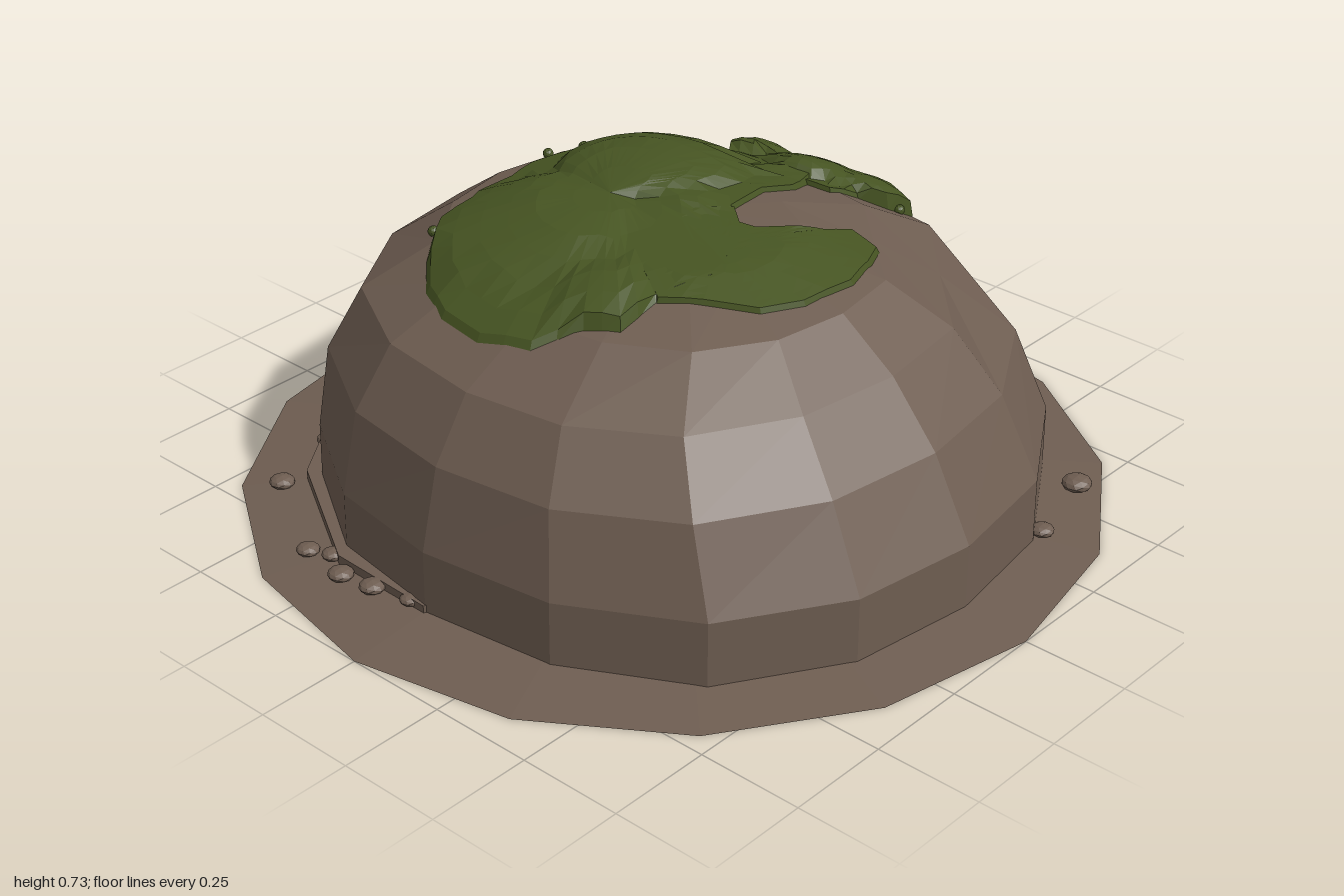
import * as THREE from 'three';

const SIDES = 16;
// Dome rings: height, half width, front z, back z
const RINGS = [
  [0.0, 0.795, 0.84, -0.76], [0.17, 0.793, 0.84, -0.757], [0.36, 0.745, 0.74, -0.75],
  [0.5, 0.65, 0.62, -0.69], [0.6, 0.46, 0.48, -0.55], [0.655, 0.25, 0.28, -0.34],
];

function geometryFrom(points, index) {
  const g = new THREE.BufferGeometry();
  g.setAttribute('position', new THREE.Float32BufferAttribute(points, 3));
  g.setIndex(index);
  const flat = g.toNonIndexed();
  flat.computeVertexNormals();
  return flat;
}

// Triangles for concentric rings of n points closed by one centre point
function ringIndex(rings, n) {
  const index = [];
  for (let r = 0; r < rings; r++) {
    for (let i = 0; i < n; i++) {
      const j = (i + 1) % n, a = r * n + i, b = r * n + j;
      if (r === rings - 1) index.push(a, b, rings * n);
      else index.push(a, b, b + n, a, b + n, a + n);
    }
  }
  return index;
}

function domeGeometry() {
  const pts = [];
  RINGS.forEach(([y, w, front, back], r) => {
    for (let i = 0; i < SIDES; i++) {
      const a = (i / SIDES) * Math.PI * 2;
      const s = Math.sin(a), c = Math.cos(a);
      // Slightly squared plan with a worn hollow at the front left
      const square = 1 + 0.045 * Math.sin(2 * a) ** 2;
      const dent = (r === 3 || r === 4) && i === 2 ? 0.9 : 1;
      pts.push(w * s * square * dent, y, (c > 0 ? front : -back) * c * square * dent);
    }
  });
  pts.push(0, 0.675, -0.04);
  return geometryFrom(pts, ringIndex(RINGS.length, SIDES));
}

// Moss patches: centre and plan outline as [x, z]
const PATCHES = [
  { name: 'mainMoss', centre: [-0.05, -0.15], outline: [
    [-0.55, -0.07], [-0.53, -0.2], [-0.48, -0.3], [-0.4, -0.38], [-0.29, -0.46], [-0.2, -0.45], [-0.12, -0.49],
    [-0.04, -0.48], [0.06, -0.51], [0.2, -0.49], [0.3, -0.45], [0.35, -0.38], [0.41, -0.25],
    [0.43, -0.1], [0.45, 0.03], [0.35, 0.06], [0.25, 0.05], [0.12, 0.07], [0.07, 0.13],
    [0, 0.2], [-0.15, 0.25], [-0.28, 0.2], [-0.39, 0.2], [-0.43, 0.13], [-0.52, 0.06]] },
  { name: 'frontMoss', centre: [-0.08, 0.2], outline: [
    [0.12, 0.07], [0.07, 0.13], [0.08, 0.17], [0.16, 0.23], [0.22, 0.27], [0.29, 0.28], [0.28, 0.36],
    [0.2, 0.4], [0.1, 0.43], [-0.05, 0.42], [-0.15, 0.38], [-0.22, 0.28], [-0.28, 0.2], [-0.2, 0.05], [0, 0]] },
  { name: 'leftMoss', centre: [0.53, -0.04], outline: [
    [0.38, -0.1], [0.43, -0.23], [0.5, -0.28], [0.57, -0.33], [0.62, -0.3], [0.63, -0.2], [0.6, -0.15],
    [0.66, -0.12], [0.67, 0], [0.66, 0.1], [0.62, 0.19], [0.55, 0.17], [0.5, 0.12], [0.42, 0.1], [0.4, 0]] },
];
// Moss cushions: x, z, radius, height
const CUSHIONS = [
  [-0.22, -0.24, 0.24, 0.03], [0.17, -0.23, 0.22, 0.055], [-0.35, 0.1, 0.11, 0.03],
  [0.58, -0.24, 0.1, 0.05], [0.55, -0.03, 0.13, 0.045], [0.6, 0.1, 0.1, 0.05], [0.07, -0.02, 0.07, 0.015],
];

function mossHeight(x, z) {
  let h = 0.012;
  for (const [cx, cz, r, height] of CUSHIONS) {
    const d = ((x - cx) ** 2 + (z - cz) ** 2) / (r * r);
    if (d < 1) h = Math.max(h, 0.012 + height * Math.sqrt(1 - d));
  }
  return h;
}

function mossGeometry({ centre: [cx, cz], outline }, ground) {
  // Outline runs counter-clockwise as seen from above
  const area = outline.reduce((sum, [x, z], i) => {
    const [u, v] = outline[(i + 1) % outline.length];
    return sum + x * v - u * z;
  }, 0);
  const loop = area > 0 ? [...outline].reverse() : outline;
  const edge = [];
  loop.forEach(([x, z], i) => {
    const [u, v] = loop[(i + 1) % loop.length];
    edge.push([x, z], [(x + u) / 2, (z + v) / 2]);
  });
  const scales = [1, 0.97, 0.85, 0.7, 0.55, 0.4, 0.2];
  const pts = [];
  const put = (x, z, lift) => pts.push(x, ground(x, z) + lift, z);
  scales.forEach((s, r) => edge.forEach(([ex, ez]) => {
    const x = cx + (ex - cx) * s, z = cz + (ez - cz) * s;
    put(x, z, r === 0 ? -0.003 : mossHeight(x, z));
  }));
  put(cx, cz, mossHeight(cx, cz));
  return geometryFrom(pts, ringIndex(scales.length, edge.length));
}

export function createModel() {
  const group = new THREE.Group();
  const earth = new THREE.MeshStandardMaterial({ color: 0x6e5d51, flatShading: true });
  earth.name = 'earthBrown';
  const green = new THREE.MeshStandardMaterial({ color: 0x465422, flatShading: true });
  green.name = 'mossGreen';
  const add = (name, geometry, material, x = 0, y = 0, z = 0) => {
    const mesh = new THREE.Mesh(geometry, material);
    mesh.name = name;
    mesh.position.set(x, y, z);
    group.add(mesh);
    return mesh;
  };

  // Sloping ground skirt
  add('groundSkirt', new THREE.CylinderGeometry(0.75, 1, 0.025, SIDES), earth, 0, 0.0125, 0);

  // Thin ledge round the foot of the dome
  const ledge = new THREE.Shape([
    [-0.8, 0], [-0.79, -0.28], [-0.6, -0.6], [-0.36, -0.77], [0.22, -0.82], [0.4, -0.74], [0.62, -0.56],
    [0.78, -0.3], [0.79, 0.02], [0.84, 0.24], [0.7, 0.31], [0, 0.5],
  ].map(([x, z]) => new THREE.Vector2(x, -z)));
  const ledgeGeometry = new THREE.ExtrudeGeometry(ledge, { depth: 0.03, bevelEnabled: false });
  ledgeGeometry.rotateX(-Math.PI / 2);
  add('footLedge', ledgeGeometry, earth, 0, 0.008, 0);

  // Dome
  const dome = add('dome', domeGeometry(), earth);
  dome.updateMatrixWorld();
  const ray = new THREE.Raycaster();
  const down = new THREE.Vector3(0, -1, 0);
  const ground = (x, z) => {
    ray.set(new THREE.Vector3(x + 1e-5, 2, z + 2e-5), down);
    const hit = ray.intersectObject(dome)[0];
    return hit ? hit.point.y : 0;
  };

  // Moss
  for (const patch of PATCHES) add(patch.name, mossGeometry(patch, ground), green);
  const bud = new THREE.IcosahedronGeometry(0.013, 1);
  [[-0.31, -0.45], [-0.22, -0.41], [0.14, -0.53], [0.29, -0.5], [0.22, -0.49], [0.58, -0.33],
    [0.68, 0], [0.58, 0.18], [0.62, 0.17], [0.07, -0.02]]
    .forEach(([x, z]) => add('mossBud', bud, green, x, ground(x, z) + 0.008, z));

  // Pebbles on the skirt: x, z, radius
  const pebble = new THREE.IcosahedronGeometry(1, 1);
  [[-0.65, -0.63, 0.03], [-0.46, -0.68, 0.03], [-0.21, -0.81, 0.038], [0.22, -0.81, 0.035], [0.3, -0.87, 0.028],
    [0.74, -0.55, 0.032], [0.76, -0.49, 0.026], [-0.8, -0.37, 0.027], [-0.78, -0.31, 0.026],
    [-0.82, -0.24, 0.03], [-0.81, -0.15, 0.03], [-0.79, -0.05, 0.025], [0.86, -0.19, 0.03],
    [0.9, -0.12, 0.025], [0.82, 0, 0.025], [0.82, 0.09, 0.026], [0.87, 0.13, 0.032],
    [0.35, 0.79, 0.028], [0.57, 0.73, 0.036], [0.73, 0.37, 0.012], [0.74, 0.46, 0.01]]
    .forEach(([x, z, r]) => {
      const y = Math.max(0.008, (1 - Math.hypot(x, z)) * 0.1);
      add('pebble', pebble, earth, x, y + r * 0.3, z).scale.set(r, r * 0.5, r);
    });
  return group;
}
